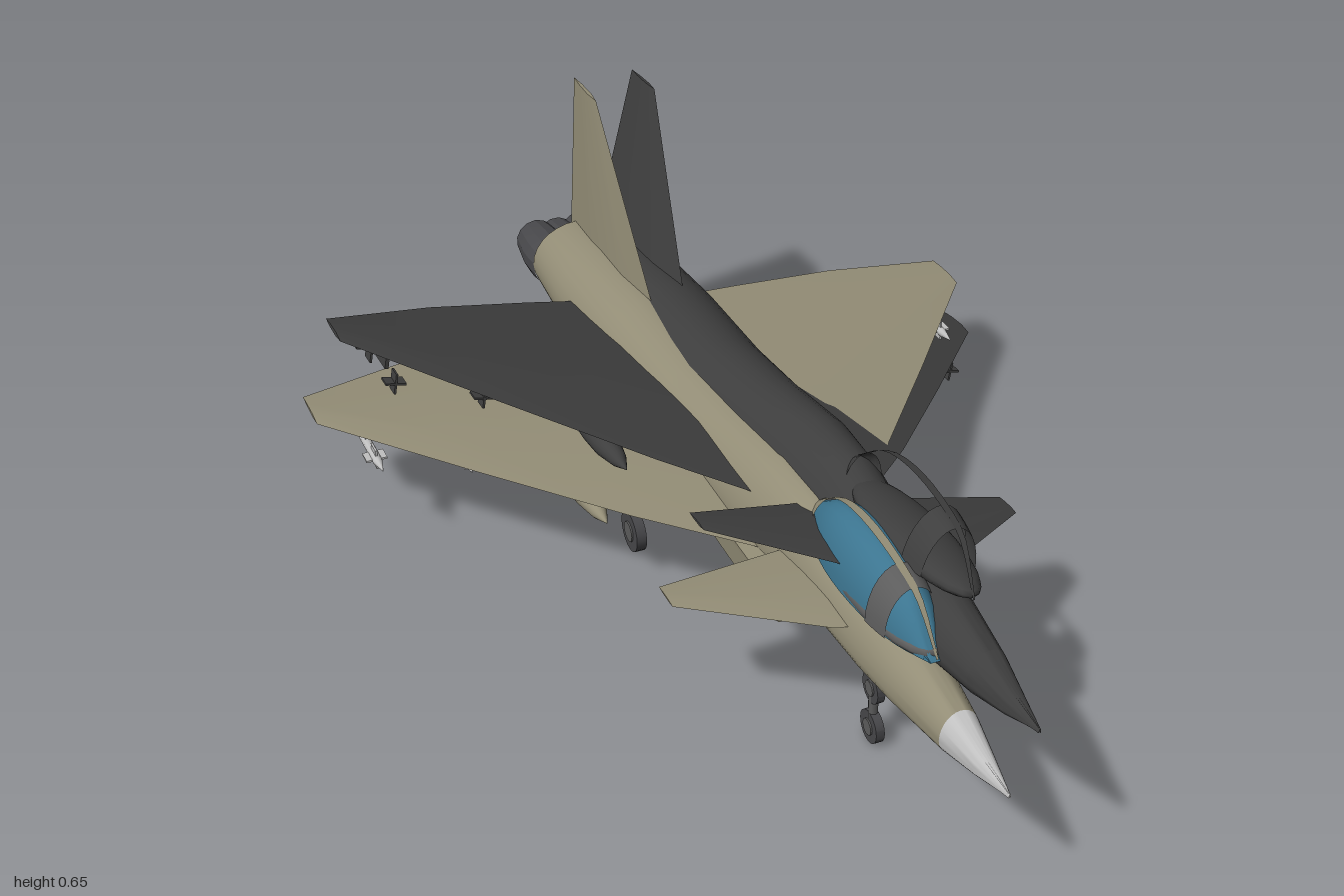
import * as THREE from 'three';
import { toCreasedNormals } from 'three/addons/utils/BufferGeometryUtils.js';

const mat = (name, color, side = THREE.FrontSide) => {
  const m = new THREE.MeshStandardMaterial({ color, side });
  m.name = name;
  return m;
};

// Skin a list of rings (each a list of [x, y, z]) into a surface
function skin(rings, { closed = true, caps = true, crease = 0.6 } = {}) {
  const n = rings[0].length, pos = rings.flat(2), idx = [];
  for (let i = 0; i < rings.length - 1; i++) {
    for (let j = 0; j < (closed ? n : n - 1); j++) {
      const a = i * n + j, c = i * n + (j + 1) % n;
      idx.push(a, a + n, c, c, a + n, c + n);
    }
  }
  if (caps) [0, rings.length - 1].forEach((r) => {
    const centre = pos.length / 3;
    for (let k = 0; k < 3; k++) pos.push(rings[r].reduce((s, p) => s + p[k], 0) / n);
    for (let j = 0; j < n; j++) {
      const a = r * n + j, b = r * n + (j + 1) % n;
      if (r === 0) idx.push(centre, a, b); else idx.push(centre, b, a);
    }
  });
  const g = new THREE.BufferGeometry();
  g.setAttribute('position', new THREE.Float32BufferAttribute(pos, 3));
  g.setIndex(idx);
  return toCreasedNormals(g, crease);
}

// Body sections: [z, half width, top, bottom]
const bodyRing = ([z, w, top, bottom]) => Array.from({ length: 28 }, (_, i) => {
  const a = i / 28 * Math.PI * 2, s = Math.sin(a);
  return [w * Math.cos(a), s > 0 ? top * s : -bottom * s, z];
});

// Thin aerofoil panel along x: stations [x, leading z, trailing z, thickness]
const panel = (stations) => skin(stations.map(([x, le, te, t]) => {
  const at = (f) => le + (te - le) * f, h = t / 2;
  return [[x, 0, le], [x, h, at(0.3)], [x, h * 0.8, at(0.7)], [x, 0, te], [x, -h * 0.8, at(0.7)], [x, -h, at(0.3)]];
}), { crease: 0.25 });
const mirrored = (half) => [...half.map(([x, ...r]) => [-x, ...r]), ...half.slice(0, -1).reverse()];

// Canopy height and half width along z
const canopyTop = new THREE.CatmullRomCurve3([[0.085, 0.012, 0.76], [0.158, 0.042, 0.69], [0.18, 0.055, 0.62],
  [0.19, 0.06, 0.51], [0.175, 0.05, 0.42], [0.12, 0.02, 0.33]].map(([y, w, z]) => new THREE.Vector3(w, y, z)));
function canopyPart(t0, t1, a0, a1, grow) {
  const base = 0.085, rings = [];
  for (let i = 0; i <= 16; i++) {
    const p = canopyTop.getPoint(t0 + (t1 - t0) * i / 16);
    rings.push(Array.from({ length: 15 }, (_, j) => {
      const a = a0 + (a1 - a0) * j / 14;
      return [(p.x + grow) * Math.cos(a), base + (p.y + grow - base) * Math.sin(a), p.z];
    }));
  }
  return skin(rings, { closed: false, caps: false });
}

function addTo(group, name, geometry, material, x = 0, y = 0, z = 0) {
  const m = new THREE.Mesh(geometry, material);
  m.name = name;
  m.position.set(x, y, z);
  group.add(m);
  return m;
}

function intakeGeometry() {
  const outer = new THREE.Shape([[-0.08, 0], [-0.097, -0.03], [-0.09, -0.1], [-0.075, -0.115], [0.075, -0.115], [0.09, -0.1],
    [0.097, -0.03], [0.08, 0]].map((p) => new THREE.Vector2(...p)));
  outer.holes.push(new THREE.Path([[-0.082, -0.035], [-0.078, -0.095], [-0.068, -0.106], [0.068, -0.106],
    [0.078, -0.095], [0.082, -0.035]].map((p) => new THREE.Vector2(...p))));
  const g = new THREE.ExtrudeGeometry(outer, { depth: 0.68, bevelEnabled: false });
  g.translate(0, 0, -0.35);
  const p = g.attributes.position;
  // The belly rises towards the rear
  for (let i = 0; i < p.count; i++) p.setY(i, p.getY(i) * (1 - (0.33 - p.getZ(i)) * 0.4));
  g.computeVertexNormals();
  return g;
}

function nozzleGeometry() {
  const g = new THREE.LatheGeometry([[0.05, 0], [0.053, 0.03], [0.053, 0.06], [0.043, 0.13], [0.037, 0.13], [0.04, 0.04],
    [0.001, 0.04]].map((p) => new THREE.Vector2(...p)), 14);
  g.rotateX(-Math.PI / 2);
  return toCreasedNormals(g, 0.2);
}

function missile(skinMat, finMat, withBody) {
  const g = new THREE.Group();
  g.name = 'missile';
  if (withBody) {
    addTo(g, 'missileBody', new THREE.CylinderGeometry(0.009, 0.009, 0.2, 10).rotateX(Math.PI / 2), skinMat, 0, 0, -0.01);
    addTo(g, 'missileNose', new THREE.ConeGeometry(0.009, 0.04, 10).rotateX(Math.PI / 2), skinMat, 0, 0, 0.11);
  }
  [[0.07, 0.03, 0.04], [-0.095, 0.035, 0.062]].forEach(([z, chord, span]) => {
    addTo(g, 'missileFin', new THREE.BoxGeometry(span, 0.004, chord), finMat, 0, 0, z);
    addTo(g, 'missileFin', new THREE.BoxGeometry(0.004, span, chord), finMat, 0, 0, z);
  });
  addTo(g, 'pylon', new THREE.BoxGeometry(0.007, 0.045, 0.1), finMat, 0, 0.024, -0.03);
  return g;
}

function landingGear(rubber, metal) {
  const gear = new THREE.Group();
  gear.name = 'landingGear';
  const wheel = (x, y, z, r, w) => {
    addTo(gear, 'wheel', toCreasedNormals(new THREE.CylinderGeometry(r, r, w, 20).rotateZ(Math.PI / 2), 0.6), rubber, x, y, z);
    addTo(gear, 'hub', toCreasedNormals(new THREE.CylinderGeometry(r * 0.5, r * 0.5, w + 0.006, 14).rotateZ(Math.PI / 2), 0.6), metal, x, y, z);
  };
  const strut = (x0, y0, x1, y1, z) => {
    const path = new THREE.LineCurve3(new THREE.Vector3(x0, y0, z), new THREE.Vector3(x1, y1, z));
    addTo(gear, 'strut', new THREE.TubeGeometry(path, 1, 0.009, 8), metal);
  };
  wheel(0, -0.203, 0.55, 0.031, 0.016);
  wheel(0, -0.12, 0.55, 0.029, 0.014);
  strut(0, -0.04, 0, -0.2, 0.55);
  for (const s of [-1, 1]) {
    wheel(s * 0.165, -0.193, -0.135, 0.041, 0.02);
    wheel(s * 0.15, -0.118, -0.135, 0.034, 0.018);
    strut(s * 0.12, -0.03, s * 0.162, -0.19, -0.135);
    strut(s * 0.09, -0.06, s * 0.15, -0.12, -0.135);
  }
  return gear;
}

// One delta-wing jet; paint holds its colours
function jet(name, paint) {
  const g = new THREE.Group();
  g.name = name;
  const add = (...a) => addTo(g, ...a);

  // Fuselage and nose cone
  add('noseCone', skin([[1, 0.002, 0.007, 0.003], [0.92, 0.02, 0.026, -0.02], [0.84, 0.036, 0.048, -0.035]].map(bodyRing)), paint.nose);
  add('fuselage', skin([[0.84, 0.036, 0.048, -0.035], [0.7, 0.055, 0.075, -0.045], [0.6, 0.063, 0.09, -0.05],
    [0.45, 0.068, 0.1, -0.05], [0.33, 0.075, 0.128, -0.052], [0.2, 0.088, 0.134, -0.065], [0, 0.092, 0.115, -0.085],
    [-0.2, 0.1, 0.102, -0.092], [-0.45, 0.108, 0.108, -0.1], [-0.7, 0.11, 0.1, -0.1], [-0.87, 0.1, 0.083, -0.085]].map(bodyRing)), paint.skin);

  // Belly intake
  add('intake', intakeGeometry(), paint.skin);
  add('intakeDuct', new THREE.BoxGeometry(0.15, 0.065, 0.02), paint.dark, 0, -0.068, 0.2);

  // Wing, canards and fin
  add('wing', panel(mirrored([[0.68, -0.44, -0.545, 0.008], [0.46, -0.17, -0.595, 0.014], [0.25, 0.08, -0.615, 0.022],
    [0.08, 0.26, -0.625, 0.032], [0, 0.3, -0.625, 0.034]])), paint.skin);
  add('canards', panel(mirrored([[0.3, 0.4, 0.34, 0.004], [0.08, 0.56, 0.325, 0.012], [0, 0.58, 0.325, 0.014]])), paint.skin, 0, 0.035);
  add('fin', panel([[0.06, -0.4, -0.905, 0.024], [0.42, -0.72, -0.845, 0.008]]).rotateZ(Math.PI / 2), paint.skin);

  // Cockpit tub, canopy frame and glass
  add('cockpitSill', new THREE.SphereGeometry(1, 24, 14).scale(0.06, 0.03, 0.2), paint.frame, 0, 0.093, 0.555);
  if (paint.glass) add('canopyGlass', canopyPart(0, 1, 0, Math.PI, 0), paint.glass);
  add('canopyBow', canopyPart(0.25, 0.4, 0, Math.PI, 0.003), paint.frame);
  add('canopySpine', canopyPart(0, 1, 1.45, 1.69, 0.004), paint.spine);
  add('canopyRearFrame', canopyPart(0.92, 1, 0, Math.PI, 0.003), paint.spine);

  for (const s of [-1, 1]) {
    // Engine nozzle
    add('nozzle', nozzleGeometry(), paint.nozzle, s * 0.05, -0.01, -0.87);
    // Drop tank with its pylon
    const tank = [[0.001, -0.16], [0.015, -0.12], [0.025, -0.06], [0.027, 0], [0.025, 0.06], [0.015, 0.12], [0.001, 0.16]];
    add('dropTank', new THREE.LatheGeometry(tank.map((p) => new THREE.Vector2(...p)), 18).rotateX(Math.PI / 2), paint.skin, s * 0.27, -0.055, -0.15);
    add('tankPylon', new THREE.BoxGeometry(0.01, 0.04, 0.14), paint.skin, s * 0.27, -0.02, -0.17);
    // Underwing missiles
    [[0.595, -0.43], [0.445, -0.36]].forEach(([x, z]) => {
      const m = missile(paint.nose, paint.fins, !!paint.glass);
      m.position.set(s * x, -0.046, z);
      g.add(m);
    });
  }
  return g;
}

export function createModel() {
  const both = THREE.DoubleSide;
  const tan = mat('tan', 0x938d76, both), charcoal = mat('charcoal', 0x3e3e3e, both);
  const pale = mat('paleGrey', 0xc0c0c0), glass = mat('blueGlass', 0x3c7590, both);
  const grey = mat('frameGrey', 0x5c5c5c, both), metal = mat('gunmetal', 0x47474a), black = mat('black', 0x222222);

  const model = new THREE.Group();
  model.name = 'twoJets';

  // Level jet standing on its wheels
  const level = jet('levelJet', { skin: tan, nose: pale, dark: black, frame: grey, spine: tan, glass, nozzle: metal, fins: pale });
  level.add(landingGear(metal, grey));
  level.position.set(-0.02, 0.235, 0);

  // Dark jet, banked and pitched up, overlapping the first
  const banked = jet('bankedJet', { skin: charcoal, nose: charcoal, dark: black, frame: charcoal, spine: charcoal, nozzle: metal, fins: charcoal });
  banked.position.set(0.03, 0.275, -0.01);
  banked.rotation.set(-0.06, 0, -0.21);

  model.add(level, banked);
  return model;
}
